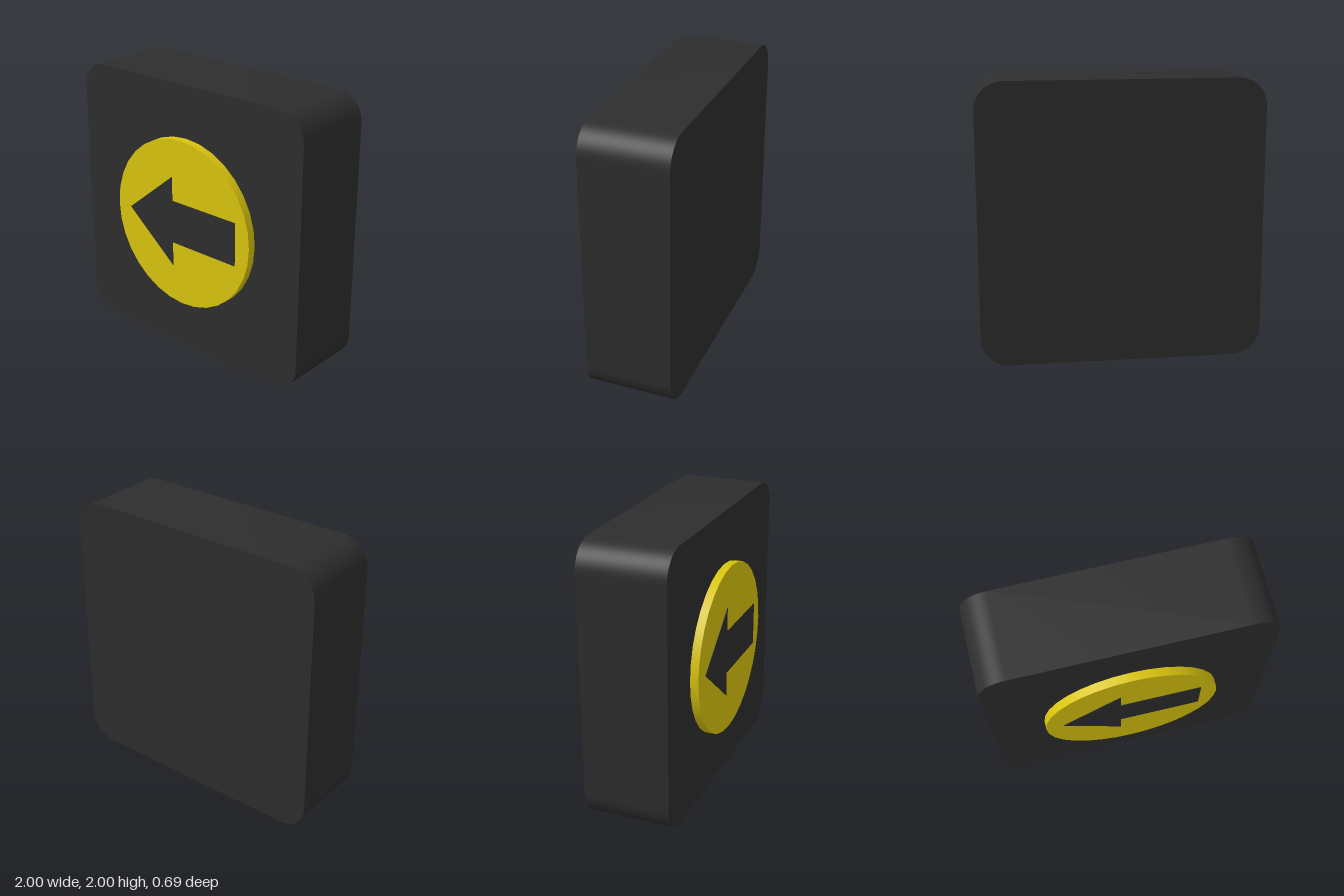
import * as THREE from 'three';
import { toCreasedNormals } from 'three/addons/utils/BufferGeometryUtils.js';

const dark = new THREE.MeshStandardMaterial({ color: 0x2d2d2d });
const yellow = new THREE.MeshStandardMaterial({ color: 0xd9c40e });

// Extrudes a shape from z = back to z = front, with smooth rounded sides
function slab(name, shape, back, front, material) {
  const extruded = new THREE.ExtrudeGeometry(shape, {
    depth: front - back, bevelEnabled: false, curveSegments: 8,
  });
  const mesh = new THREE.Mesh(toCreasedNormals(extruded, Math.PI / 6), material);
  mesh.name = name;
  mesh.position.set(0, 1, back);
  return mesh;
}

// Square of half-size h with corners of radius r
function roundedSquare(h, r) {
  const s = new THREE.Shape();
  const c = h - r;
  s.absarc(c, c, r, 0, Math.PI / 2);
  s.absarc(-c, c, r, Math.PI / 2, Math.PI);
  s.absarc(-c, -c, r, Math.PI, Math.PI * 1.5);
  s.absarc(c, -c, r, Math.PI * 1.5, Math.PI * 2);
  s.closePath();
  return s;
}

export function createModel() {
  const model = new THREE.Group();
  model.name = 'arrowButton';

  // Housing block
  model.add(slab('housing', roundedSquare(1, 0.2), -0.343, 0.28, dark));

  // Raised round button
  const button = new THREE.Mesh(new THREE.CylinderGeometry(0.623, 0.623, 0.06, 32), yellow);
  button.name = 'button';
  button.rotation.x = Math.PI / 2;
  button.position.set(0, 1, 0.31);
  model.add(button);

  // Thin arrow pointing to -x, just proud of the button
  const arrow = new THREE.Shape([
    [-0.5, 0], [-0.08, -0.34], [-0.08, -0.16], [0.5, -0.16],
    [0.5, 0.16], [-0.08, 0.16], [-0.08, 0.34],
  ].map(([x, y]) => new THREE.Vector2(x, y)));
  model.add(slab('arrow', arrow, 0.33, 0.343, dark));

  return model;
}
